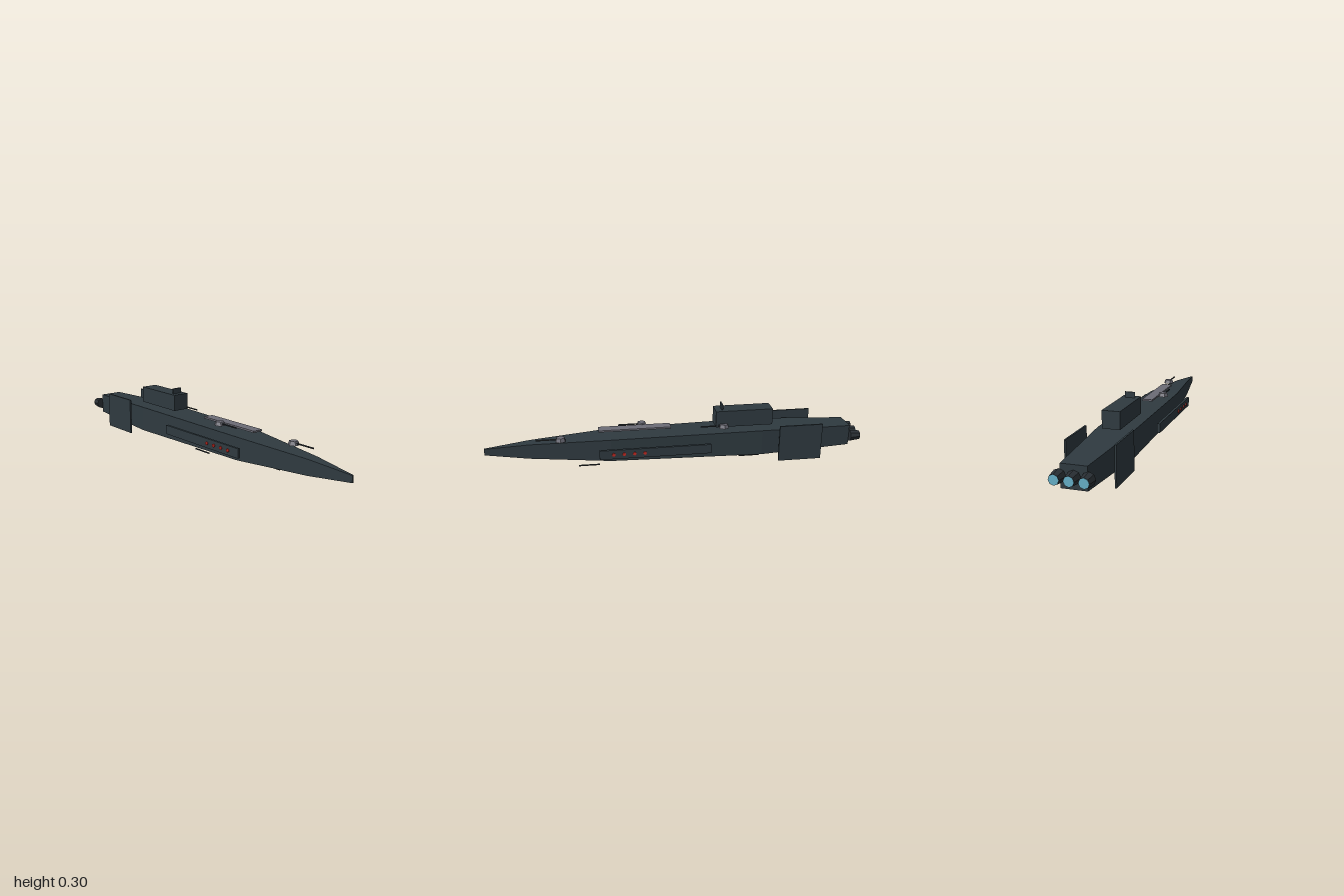
import * as THREE from 'three';

const mat = (name, color, flatShading = true) => {
  const m = new THREE.MeshStandardMaterial({ color, flatShading });
  m.name = name;
  return m;
};

// Rectangular cross-sections [z, halfWidth, bottom, top] joined from nose to stern
function loftBoxes(sections) {
  const pos = [];
  const ring = ([z, w, b, t]) => [[-w, b, z], [w, b, z], [w, t, z], [-w, t, z]];
  const quad = (a, b, c, d) => pos.push(...a, ...b, ...c, ...a, ...c, ...d);
  const rings = sections.map(ring);
  for (let i = 0; i < rings.length - 1; i++) {
    const f = rings[i], r = rings[i + 1];
    for (let k = 0; k < 4; k++) {
      const n = (k + 1) % 4;
      quad(f[k], r[k], r[n], f[n]);
    }
  }
  const first = rings[0], last = rings[rings.length - 1];
  quad(first[0], first[1], first[2], first[3]);
  quad(last[1], last[0], last[3], last[2]);
  const g = new THREE.BufferGeometry();
  g.setAttribute('position', new THREE.Float32BufferAttribute(pos, 3));
  g.computeVertexNormals();
  return g;
}

export function createModel() {
  const model = new THREE.Group();
  model.name = 'spaceship';

  const hullMat = mat('hull slate', 0x2f3a40);
  const greyMat = mat('deck grey', 0x6c6c76);
  const darkMat = mat('gun dark', 0x22282c);
  const engineMat = mat('engine dark', 0x2a3035);
  const glowMat = mat('engine glow blue', 0x66b0c8);
  const redMat = mat('signal red', 0xc42a22);

  const add = (name, geo, material, x = 0, y = 0, z = 0, parent = model) => {
    const m = new THREE.Mesh(geo, material);
    m.name = name;
    m.position.set(x, y, z);
    parent.add(m);
    return m;
  };
  // Box given by its extents
  const box = (name, material, x0, x1, y0, y1, z0, z1) =>
    add(name, new THREE.BoxGeometry(x1 - x0, y1 - y0, z1 - z0), material,
      (x0 + x1) / 2, (y0 + y1) / 2, (z0 + z1) / 2);

  // Hull
  add('hull', loftBoxes([
    [1.0, 0.004, 0.083, 0.117],
    [0.77, 0.032, 0.061, 0.139],
    [0.35, 0.08, 0.041, 0.159],
    [-0.45, 0.092, 0.031, 0.167],
    [-0.945, 0.062, 0.045, 0.155],
  ]), hullMat);

  // Bridge tower, its mast plate and the raised deck strip
  box('bridgeTower', hullMat, -0.045, 0.045, 0.182, 0.27, -0.515, -0.208);
  box('mastPlate', hullMat, -0.026, 0.026, 0.27, 0.299, -0.249, -0.242);
  box('deckStrip', greyMat, -0.028, 0.028, 0.184, 0.193, 0.03, 0.41);

  // Side fins, pods and signal lights, mirrored
  const lightGeo = new THREE.CylinderGeometry(0.009, 0.009, 0.008, 8).rotateZ(Math.PI / 2);
  for (const s of [1, -1]) {
    const side = s > 0 ? 'left' : 'right';
    const mirrored = (name, x, w, y0, y1, z0, z1) =>
      box(name, hullMat, s * x - w / 2, s * x + w / 2, y0, y1, z0, z1);
    mirrored(side + 'Fin', 0.117, 0.009, 0, 0.197, -0.77, -0.537);
    mirrored(side + 'Pod', 0.125, 0.014, 0.075, 0.124, -0.168, 0.413);
    for (let i = 0; i < 4; i++) {
      add(side + 'SignalLight', lightGeo, redMat, s * 0.133, 0.1, 0.18 + i * 0.0535);
    }
  }

  // Deck turrets with forward-pointing barrels
  const turretGeo = new THREE.CylinderGeometry(0.022, 0.029, 0.02, 6).rotateY(Math.PI / 6);
  const barrelGeo = new THREE.CylinderGeometry(0.004, 0.004, 0.11, 8).rotateX(Math.PI / 2);
  for (const [x, y, z] of [[0.046, 0.166, 0.607], [-0.046, 0.19, 0.178], [0.046, 0.19, -0.25]]) {
    const turret = new THREE.Group();
    turret.name = 'turret';
    turret.position.set(x, y, z);
    add('turretBase', turretGeo, greyMat, 0, 0, 0, turret);
    add('turretBarrel', barrelGeo, darkMat, 0, 0, 0.07, turret);
    model.add(turret);
  }

  // Guns slung below the keel, on alternating sides
  [0.465, 0.037, -0.392].forEach((z, i) =>
    add('keelGun', barrelGeo, darkMat, i % 2 ? -0.046 : 0.046, 0.01, z));

  // Engine nozzles with glowing exhaust discs
  const nozzleGeo = new THREE.CylinderGeometry(0.032, 0.025, 0.054, 8).rotateX(Math.PI / 2);
  const exhaustGeo = new THREE.CylinderGeometry(0.024, 0.024, 0.004, 8).rotateX(Math.PI / 2);
  for (const x of [-0.067, 0, 0.067]) {
    add('engineNozzle', nozzleGeo, engineMat, x, 0.1, -0.972);
    add('engineExhaust', exhaustGeo, glowMat, x, 0.1, -0.998);
  }
  return model;
}
